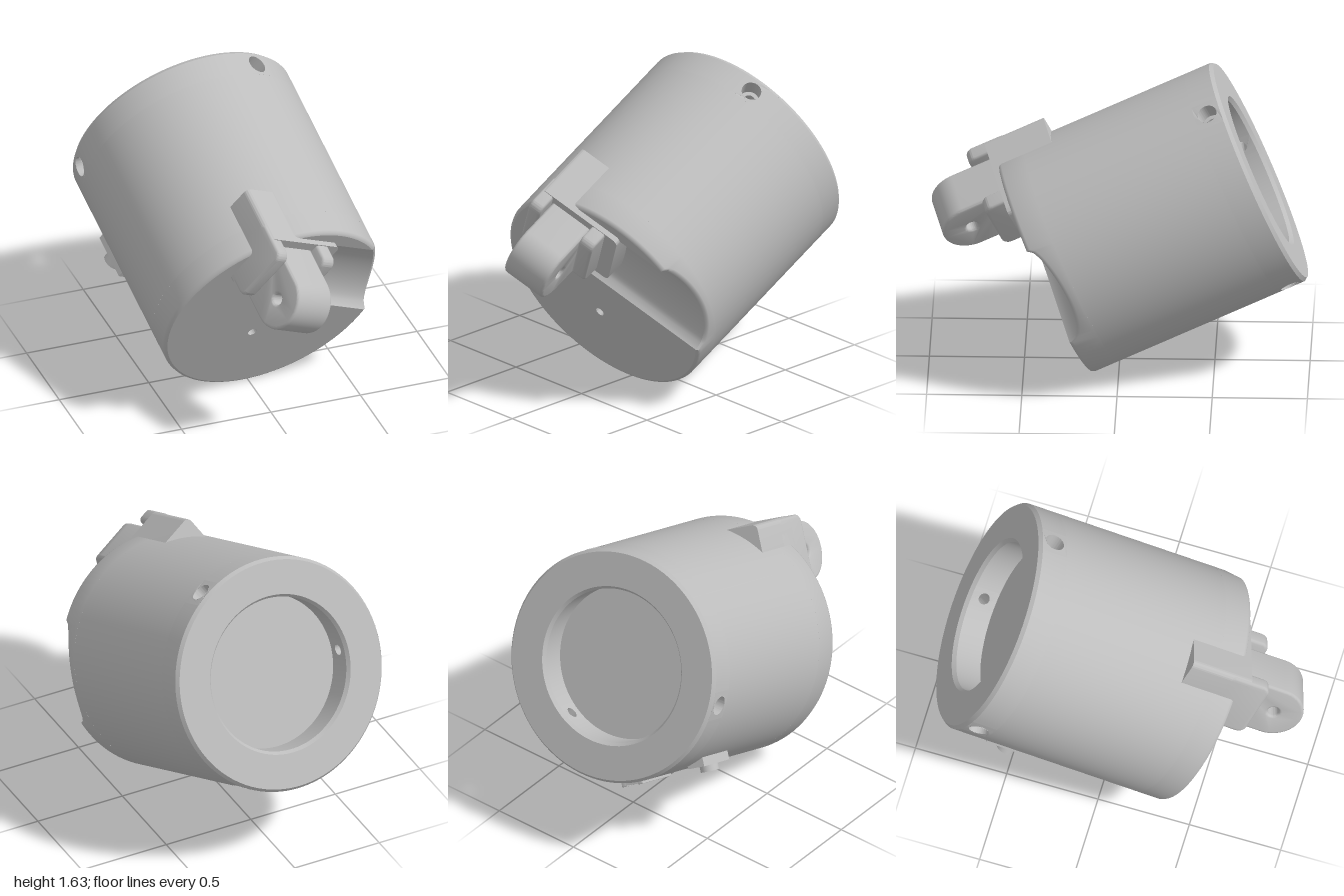
import * as THREE from 'three';
import { toCreasedNormals } from 'three/addons/utils/BufferGeometryUtils.js';

const R = 0.624, RI = 0.606;          // outer radius, front face radius inside the bevel
const BORE = 0.41, BACK = -1.24;      // rear recess radius, rear end of the body
const U0 = 0.077, U1 = 0.53, R0 = -0.25; // finger scoop limits
const HOLE_Z = -1.15, HALF = 0.13;    // screw hole ring position, patch half angle

const polar = (rad, t, z) => [rad * Math.cos(t), rad * Math.sin(t), z];

// Surface through rows of points
function grid(rows) {
  const pos = rows.flat(2), idx = [], n = rows[0].length;
  for (let i = 0; i < rows.length - 1; i++)
    for (let j = 0; j < n - 1; j++) {
      const p = i * n + j;
      idx.push(p, p + n, p + 1, p + 1, p + n, p + n + 1);
    }
  const g = new THREE.BufferGeometry();
  g.setAttribute('position', new THREE.Float32BufferAttribute(pos, 3));
  g.setIndex(idx);
  g.computeVertexNormals();
  return g;
}

const span = (a, b, n) => Array.from({ length: n + 1 }, (_, i) => a + (b - a) * i / n);

const lathe = (pts) => new THREE.LatheGeometry(pts.map(p => new THREE.Vector2(...p)), 96);

// Small square of cylinder wall with a round hole in it
function holedPatch(rad, angle, hole) {
  const w = HALF * rad, h = 0.07, s = new THREE.Shape();
  const edge = span(-1, 1, 8);
  s.setFromPoints([
    ...edge.map(k => new THREE.Vector2(k * w, -h)),
    ...edge.map(k => new THREE.Vector2(-k * w, h))
  ]);
  const c = new THREE.Path();
  c.absarc(0, 0, hole, 0, Math.PI * 2, true);
  s.holes.push(c);
  const g = new THREE.ShapeGeometry(s, 24), p = g.attributes.position;
  for (let i = 0; i < p.count; i++)
    p.setXYZ(i, ...polar(rad, angle + p.getX(i) / rad, HOLE_Z + p.getY(i)));
  g.computeVertexNormals();
  return g;
}

// Side profile in (forward, up), extruded sideways from x0 to x1
function sidePlate(shape, x0, x1, bevel) {
  const g = new THREE.ExtrudeGeometry(shape, {
    depth: x1 - x0 - 2 * bevel, bevelEnabled: true, bevelSize: bevel, bevelOffset: -bevel,
    bevelThickness: bevel, bevelSegments: 3, curveSegments: 20
  });
  return g.rotateY(Math.PI / 2).translate(x0 + bevel, 0, 0);
}

function roundRect(x0, x1, y0, y1, r) {
  const s = new THREE.Shape();
  s.absarc(x1 - r, y1 - r, r, 0, Math.PI / 2);
  s.absarc(x0 + r, y1 - r, r, Math.PI / 2, Math.PI);
  s.absarc(x0 + r, y0 + r, r, Math.PI, Math.PI * 1.5);
  s.absarc(x1 - r, y0 + r, r, Math.PI * 1.5, Math.PI * 2);
  return s;
}

export function createModel() {
  const grey = new THREE.MeshStandardMaterial({ color: 0xbdbdbd, side: THREE.DoubleSide });
  grey.name = 'grey';
  const model = new THREE.Group();
  model.name = 'housing';
  const tilted = new THREE.Group();
  tilted.name = 'tiltedBody';
  model.add(tilted);
  const add = (name, geo, crease = 0.6) => {
    const m = new THREE.Mesh(toCreasedNormals(geo, crease), grey);
    m.name = name;
    tilted.add(m);
    return m;
  };

  // Front rim, dipping where the scoop crosses it
  const depth = u => 0.095 * Math.sqrt(Math.max(0, 1 - ((2 * u - U0 - U1) / (U1 - U0)) ** 2));
  const t0 = Math.asin(U0 / RI), t1 = Math.asin(U1 / RI);
  const scoopT = span(t0, t1, 28), restT = span(t1, t0 + Math.PI * 2, 90);
  const dip = t => (t <= t1 ? -depth(RI * Math.sin(t)) : 0);
  const rim = [...scoopT, ...restT.slice(1)];
  add('frontRim', grid([
    rim.map(t => polar(RI, t, dip(t))),
    rim.map(t => polar((R + RI) / 2 + 0.004, t, dip(t) - 0.006)),
    rim.map(t => polar(R, t, dip(t) - 0.02)),
    rim.map(t => polar(R, t, -0.15))
  ]), 0.9);

  // Flat front face with a pin hole
  const face = new THREE.Shape([
    ...restT.map(t => new THREE.Vector2(RI * Math.cos(t), RI * Math.sin(t))),
    new THREE.Vector2(R0, U0), new THREE.Vector2(R0, U1)
  ]);
  const pin = new THREE.Path();
  pin.absarc(0.006, -0.196, 0.025, 0, Math.PI * 2, true);
  face.holes.push(pin);
  add('frontFace', new THREE.ShapeGeometry(face));
  add('pinHole', lathe([[0.025, 0], [0.025, -0.08], [0, -0.08]]).rotateX(Math.PI / 2)
    .translate(0.006, -0.196, 0));

  // Finger scoop and its end wall
  const us = scoopT.map(t => RI * Math.sin(t));
  add('scoop', grid([
    us.map(u => [R0, u, -depth(u)]),
    us.map((u, i) => [RI * Math.cos(scoopT[i]), u, -depth(u)])
  ]), 0.9);
  add('scoopEnd', grid([us.map(u => [R0, u, 0]), us.map(u => [R0, u, -depth(u)])]));

  // Barrel, rear ring and recess floor
  add('barrel', lathe([[R, -0.15], [R, -1.08]]).rotateX(Math.PI / 2));
  add('rearRing', lathe([[R, -1.22], [R - 0.015, BACK], [BORE + 0.015, BACK], [BORE, -1.22]])
    .rotateX(Math.PI / 2));
  add('recessFloor', lathe([[BORE, -1.08], [0, -1.08]]).rotateX(Math.PI / 2));

  // Rear wall band with three stepped screw holes
  for (let k = 0; k < 3; k++) {
    const t = Math.PI / 2 + k * Math.PI * 2 / 3;
    const arc = span(t + HALF, t + Math.PI * 2 / 3 - HALF, 28);
    for (const [name, rad, hole] of [['outerBand', R, 0.052], ['innerBand', BORE, 0.03]]) {
      add(name, grid([arc.map(a => polar(rad, a, -1.08)), arc.map(a => polar(rad, a, -1.22))]));
      add(name + 'Hole', holedPatch(rad, t, hole));
    }
    add('screwHole', lathe([[0.052, R], [0.052, 0.53], [0.03, 0.53], [0.03, BORE]])
      .rotateZ(t - Math.PI / 2).translate(0, 0, HOLE_Z));
  }

  // Hinge block set into the upper edge
  const block = roundRect(-0.48, 0.02, 0.18, 0.55, 0.03);
  add('hingeBlock', new THREE.ExtrudeGeometry(block, { depth: 0.34, bevelEnabled: false })
    .translate(0, 0, -0.31));

  // Two lugs beside the knuckle
  for (const [x0, x1] of [[-0.48, -0.405], [-0.145, -0.06]])
    add('hingeLug', sidePlate(roundRect(-0.145, 0.1, 0.2, 0.545, 0.045), x0, x1, 0.015));

  // Knuckle with a round nose and cross hole
  const knuckle = new THREE.Shape();
  knuckle.moveTo(0.02, 0.18);
  knuckle.lineTo(0.02, 0.5);
  knuckle.lineTo(-0.257, 0.5);
  knuckle.absarc(-0.257, 0.34, 0.16, Math.PI / 2, Math.PI * 1.5);
  const bore = new THREE.Path();
  bore.absarc(-0.257, 0.34, 0.03, 0, Math.PI * 2, true);
  knuckle.holes.push(bore);
  add('hingeKnuckle', sidePlate(knuckle, -0.4, -0.15, 0.015));

  // Clip frame and round stud underneath
  const frame = roundRect(0.67, 0.97, -0.65, -0.5, 0.004);
  add('clipRail', sidePlate(frame, 0.13, 0.16, 0.003));
  add('clipRail', sidePlate(frame, 0.23, 0.26, 0.003));
  for (const z of [-0.685, -0.82, -0.955])
    add('clipBar', new THREE.BoxGeometry(0.1, 0.14, 0.03).translate(0.195, -0.575, z));
  add('stud', new THREE.CylinderGeometry(0.05, 0.05, 0.12, 24).translate(-0.2, -0.595, -0.82));
  add('studBase', new THREE.BoxGeometry(0.1, 0.1, 0.26).translate(-0.2, -0.57, -0.82));

  // Tilt and roll of the whole body
  const a = new THREE.Vector3(0.085, -0.403, 0.911).normalize();
  const u = new THREE.Vector3().crossVectors(a, new THREE.Vector3(0.853, -0.441, -0.275)).normalize();
  const r = new THREE.Vector3().crossVectors(u, a);
  tilted.quaternion.setFromRotationMatrix(new THREE.Matrix4().makeBasis(r, u, a));
  tilted.position.set(0.055, 0.575, 0.39);
  return model;
}
